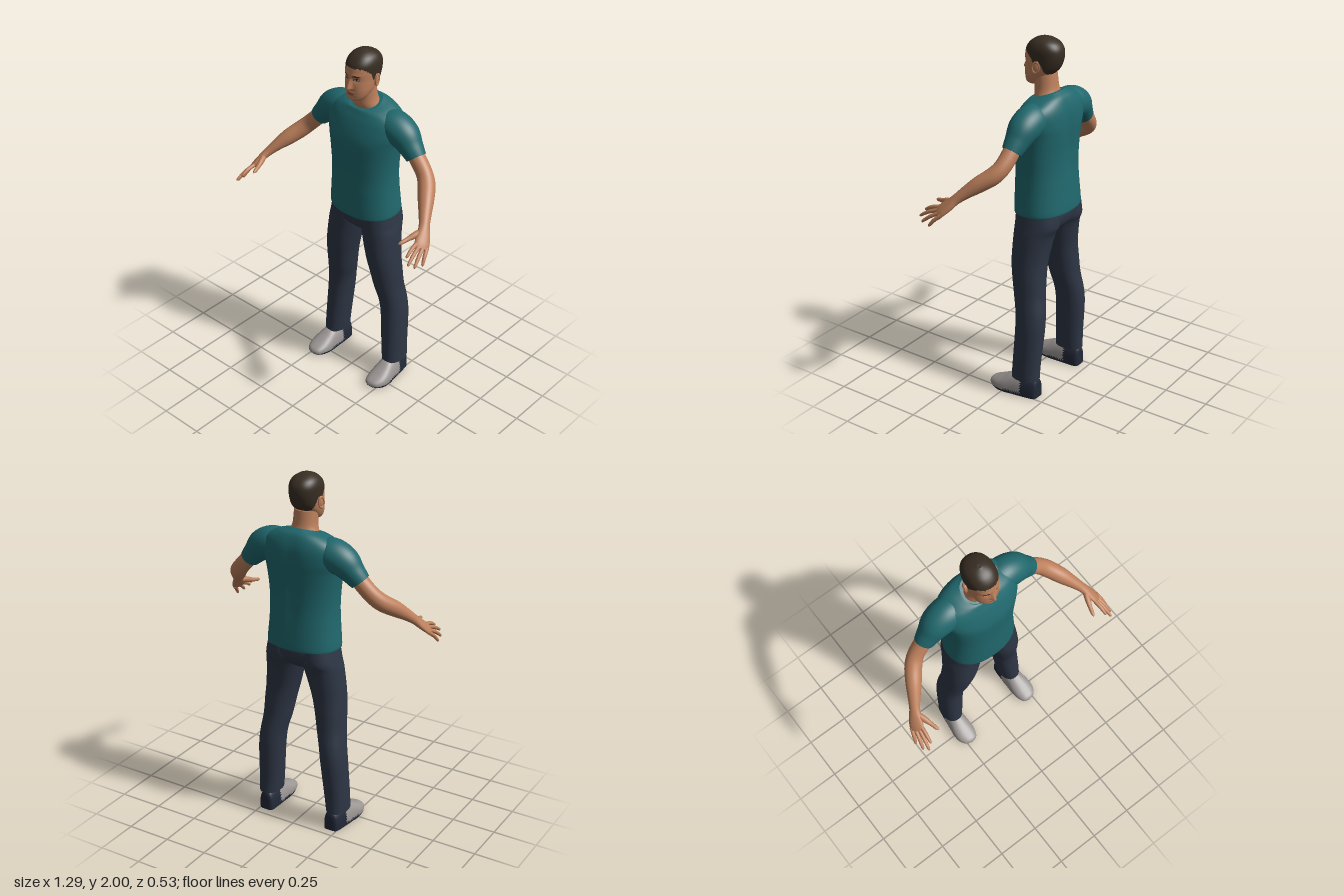
import * as THREE from 'three';

const mat = (name, color) => {
  const m = new THREE.MeshStandardMaterial({ color });
  m.name = name;
  return m;
};
const V = (x, y, z) => new THREE.Vector3(x, y, z);
const bell = (d, w) => Math.exp(-((d / w) ** 2));

// Catmull-Rom through rows of numbers, k steps per span
function smooth(rows, k) {
  const out = [];
  const at = i => rows[Math.min(Math.max(i, 0), rows.length - 1)];
  for (let i = 0; i < rows.length - 1; i++) {
    const [a, b, c, d] = [at(i - 1), at(i), at(i + 1), at(i + 2)];
    for (let s = 0; s < k; s++) {
      const t = s / k;
      out.push(b.map((p, j) => {
        const c1 = c[j] - a[j];
        const c2 = 2 * a[j] - 5 * p + 4 * c[j] - d[j];
        const c3 = 3 * (p - c[j]) + d[j] - a[j];
        return p + 0.5 * t * (c1 + t * (c2 + t * c3));
      }));
    }
  }
  out.push(at(rows.length));
  return out;
}

// Skin a list of rings {c, u, v} with superellipse sections and closed ends
function loft(name, mats, rings, { seg = 40, n = 2, sculpt, paint } = {}) {
  const pos = [], buckets = [].concat(mats).map(() => []);
  const sp = c => Math.sign(c) * Math.abs(c) ** (2 / n);
  const last = rings.length - 1, mid = rings[last >> 1];
  const flip = V(0, 0, 0).crossVectors(mid.u, mid.v).dot(rings[last].c.clone().sub(rings[0].c)) < 0;
  for (const { c, u, v } of rings) {
    for (let j = 0; j < seg; j++) {
      const a = (j / seg) * Math.PI * 2;
      const p = c.clone().addScaledVector(u, sp(Math.cos(a))).addScaledVector(v, sp(Math.sin(a)));
      if (sculpt) sculpt(p);
      pos.push(p.x, p.y, p.z);
    }
  }
  const tri = (a, b, c) => {
    const mean = k => (pos[a * 3 + k] + pos[b * 3 + k] + pos[c * 3 + k]) / 3;
    const m = paint ? paint(mean(0), mean(1), mean(2)) : 0;
    buckets[m].push(...(flip ? [a, c, b] : [a, b, c]));
  };
  for (let i = 0; i < last; i++) {
    for (let j = 0; j < seg; j++) {
      const a = i * seg + j, b = i * seg + (j + 1) % seg;
      tri(a, b, a + seg);
      tri(b, b + seg, a + seg);
    }
  }
  for (const i of [0, last]) {
    const start = pos.length / 3, mean = [0, 0, 0];
    for (let j = 0; j < seg; j++) {
      for (let k = 0; k < 3; k++) {
        const q = pos[(i * seg + j) * 3 + k];
        pos.push(q);
        mean[k] += q / seg;
      }
    }
    pos.push(...mean);
    for (let j = 0; j < seg; j++) {
      const a = start + j, b = start + (j + 1) % seg;
      if (i) tri(start + seg, a, b); else tri(start + seg, b, a);
    }
  }
  const g = new THREE.BufferGeometry();
  g.setAttribute('position', new THREE.Float32BufferAttribute(pos, 3));
  g.setIndex(buckets.flat());
  let from = 0;
  buckets.forEach((b, i) => { g.addGroup(from, b.length, i); from += b.length; });
  g.computeVertexNormals();
  const mesh = new THREE.Mesh(g, mats);
  mesh.name = name;
  return mesh;
}

// Upright form: rows of [y, frontZ, backZ, halfWidth, centreX, tilt]
function upright(name, mats, rows, opts = {}) {
  const full = rows.map(([y, f, b, r, x = 0, t = 0]) => [y, f, b, r, x, t]);
  const rings = smooth(full, opts.k || 5).map(([y, f, b, r, x, t]) => ({
    c: V(x, y, (f + b) / 2), u: V(r, 0, 0), v: V(0, t * (f - b) / 2, (f - b) / 2),
  }));
  return loft(name, mats, rings, opts);
}

// Limb along a path: rows of [x, y, z, r1, r2], r1 measured along wide
function limb(name, m, rows, wide, opts = {}) {
  const s = smooth(rows, opts.k || 5);
  const rings = s.map((r, i) => {
    const a = s[Math.max(i - 1, 0)], b = s[Math.min(i + 1, s.length - 1)];
    const d = V(b[0] - a[0], b[1] - a[1], b[2] - a[2]).normalize();
    const u = wide.clone().addScaledVector(d, -wide.dot(d)).normalize();
    const v = d.clone().cross(u);
    return { c: V(r[0], r[1], r[2]), u: u.multiplyScalar(r[3]), v: v.multiplyScalar(r[4]) };
  });
  return loft(name, m, rings, opts);
}

export function createModel() {
  const model = new THREE.Group();
  model.name = 'standingMan';
  const skin = mat('skin', 0xbd805c), hair = mat('hair', 0x382e23), shirt = mat('shirt', 0x20686d);
  const denim = mat('trousers', 0x2e3645), shoe = mat('shoe', 0x9c9795), sole = mat('sole', 0x232939);
  const white = mat('eyeWhite', 0xbfb0a4), lip = mat('lips', 0x96594a);

  // Shirt body with a shallow groove along the spine
  model.add(upright('shirtBody', shirt, [
    [1.063, 0.034, -0.262, 0.2, 0, -0.05], [1.08, 0.036, -0.266, 0.206, 0, -0.03], [1.2, 0.035, -0.257, 0.196],
    [1.3, 0.032, -0.25, 0.193], [1.4, 0.033, -0.25, 0.2], [1.5, 0.033, -0.256, 0.214],
    [1.56, 0.02, -0.258, 0.228], [1.62, -0.003, -0.254, 0.225], [1.66, -0.022, -0.243, 0.2, 0, -0.04],
    [1.688, -0.032, -0.225, 0.145, 0, -0.14], [1.7, -0.037, -0.2, 0.1, 0, -0.25], [1.702, -0.04, -0.19, 0.086, 0, -0.32],
  ], {
    seg: 64, n: 2.3, sculpt: p => {
      if (p.z < -0.15) p.z += 0.012 * bell(p.x, 0.035) * bell(p.y - 1.45, 0.2);
    },
  }));

  // Neck
  model.add(upright('neck', skin, [
    [1.63, -0.07, -0.2, 0.1], [1.69, -0.047, -0.184, 0.08], [1.735, -0.042, -0.168, 0.067], [1.81, -0.035, -0.158, 0.063],
  ]));

  // Head: face sculpted by rule, hairline and features coloured by region
  const hairline = [[0.05, 1.932], [-0.02, 1.925], [-0.05, 1.9], [-0.068, 1.88], [-0.075, 1.855],
    [-0.09, 1.86], [-0.1, 1.885], [-0.115, 1.87], [-0.135, 1.82], [-0.16, 1.8], [-0.3, 1.8]];
  const lineAt = z => {
    const i = Math.max(1, hairline.findIndex(h => h[0] <= z));
    const [a, b] = [hairline[i - 1], hairline[i]];
    return a[1] + (b[1] - a[1]) * (z - a[0]) / (b[0] - a[0]);
  };
  const oval = (x, y, w, h) => (x / w) ** 2 + (y / h) ** 2;
  model.add(upright('head', [skin, hair, white, lip], [
    [1.738, -0.004, -0.05, 0.024], [1.75, 0.009, -0.075, 0.045], [1.77, 0.012, -0.105, 0.062],
    [1.8, 0.014, -0.138, 0.073], [1.83, 0.015, -0.17, 0.077], [1.86, 0.013, -0.188, 0.079],
    [1.9, 0.014, -0.199, 0.081], [1.94, 0.005, -0.196, 0.08], [1.97, -0.018, -0.176, 0.067],
    [1.989, -0.047, -0.143, 0.043], [2.0, -0.08, -0.105, 0.012],
  ], {
    seg: 140, k: 8, n: 2.2,
    sculpt: p => {
      if (p.z < -0.06) return;
      const x = Math.abs(p.x), y = p.y;
      const ramp = THREE.MathUtils.clamp((1.885 - y) / 0.065, 0, 1) * THREE.MathUtils.smoothstep(y, 1.803, 1.818);
      p.z += 0.024 * ramp * bell(x, 0.007 + 0.006 * ramp);
      p.z -= 0.007 * bell(x - 0.031, 0.015) * bell(y - 1.867, 0.012);
      p.z += 0.004 * bell(x - 0.025, 0.025) * bell(y - 1.889, 0.01);
      p.z += 0.005 * bell(x, 0.022) * (bell(y - 1.793, 0.006) + bell(y - 1.78, 0.006));
      p.z += 0.003 * bell(x, 0.02) * bell(y - 1.755, 0.01);
    },
    paint: (x, y, z) => {
      if (y > lineAt(z) + 0.004 * Math.sin(x * 210) * Math.cos(z * 170)) return 1;
      if (z < -0.04) return 0;
      const ax = Math.abs(x), eye = oval(ax - 0.032, y - 1.866, 0.016, 0.0075);
      if (oval(ax - 0.034, y - 1.887 + (ax - 0.034) * 0.1, 0.02, 0.0045) < 1) return 1;
      if (eye < 1) return eye < 0.5 && Math.abs(ax - 0.032) > 0.0045 ? 2 : 1;
      return oval(x, y - 1.787, 0.024, 0.009) < 1 ? 3 : 0;
    },
  }));

  // Hips
  model.add(upright('hips', denim, [
    [1.1, 0.0, -0.24, 0.185], [1.05, 0.0, -0.25, 0.2], [1.0, -0.003, -0.24, 0.205],
    [0.97, -0.015, -0.215, 0.17], [0.945, -0.04, -0.18, 0.07],
  ], { n: 2.3 }));

  const wide = V(0.64, -0.43, -0.64);
  for (const s of [1, -1]) {
    const side = s > 0 ? 'left' : 'right';
    const wideS = V(wide.x * s, wide.y, wide.z);
    const mirror = rows => rows.map(([x, ...rest]) => [x * s, ...rest]);

    // Ear with rim
    const ear = new THREE.Group();
    ear.name = side + 'Ear';
    const lobe = new THREE.Mesh(new THREE.SphereGeometry(1, 20, 14), skin);
    lobe.scale.set(0.009, 0.032, 0.018);
    const rim = new THREE.Mesh(new THREE.TorusGeometry(0.018, 0.0045, 8, 24), skin);
    rim.rotation.y = Math.PI / 2;
    rim.scale.set(1, 1.6, 1);
    rim.position.x = s * 0.006;
    ear.add(lobe, rim);
    ear.position.set(s * 0.084, 1.853, -0.094);
    ear.rotation.set(-0.15, s * 0.25, 0);
    model.add(ear);

    // Sleeve
    model.add(limb(side + 'Sleeve', shirt, mirror([
      [0.12, 1.605, -0.13, 0.08, 0.075], [0.18, 1.6, -0.132, 0.088, 0.088], [0.245, 1.573, -0.13, 0.083, 0.084],
      [0.295, 1.525, -0.125, 0.066, 0.066], [0.33, 1.488, -0.121, 0.055, 0.056], [0.337, 1.48, -0.12, 0.052, 0.053],
    ]), V(0, 0, 1)));

    // Arm and palm
    model.add(limb(side + 'Arm', skin, mirror([
      [0.29, 1.54, -0.12, 0.044, 0.044], [0.345, 1.475, -0.12, 0.045, 0.045], [0.402, 1.415, -0.108, 0.044, 0.045],
      [0.442, 1.373, -0.078, 0.046, 0.046], [0.485, 1.33, -0.022, 0.042, 0.043], [0.523, 1.288, 0.03, 0.034, 0.032],
      [0.553, 1.25, 0.072, 0.029, 0.024], [0.575, 1.217, 0.105, 0.037, 0.02], [0.593, 1.187, 0.137, 0.041, 0.016],
      [0.603, 1.171, 0.154, 0.036, 0.011],
    ]), wideS));

    // Fingers, index to little, then thumb
    const tips = [[0.585, 1.16, 0.25], [0.61, 1.13, 0.268], [0.63, 1.11, 0.24], [0.64, 1.102, 0.188]];
    tips.forEach((t, i) => {
      const o = -0.031 + i * 0.0205;
      const b = [0.596 + wide.x * o, 1.181 + wide.y * o, 0.143 + wide.z * o];
      const at = (f, lift, r) => [...b.map((q, k) => q + (t[k] - q) * f + (k === 1 ? lift : 0)), r, r];
      model.add(limb(side + 'Finger' + (i + 1), skin, mirror([
        at(0, 0, 0.011), at(0.45, 0.007, 0.0105), at(0.75, 0.005, 0.009), at(0.94, 0.001, 0.007), at(1, 0, 0.002),
      ]), wideS, { seg: 14, k: 3 }));
    });
    model.add(limb(side + 'Thumb', skin, mirror([
      [0.562, 1.235, 0.09, 0.016, 0.016], [0.545, 1.222, 0.135, 0.018, 0.016], [0.53, 1.21, 0.175, 0.012, 0.012],
      [0.519, 1.202, 0.212, 0.01, 0.01], [0.514, 1.199, 0.227, 0.003, 0.003],
    ]), wideS, { seg: 14, k: 3 }));

    // Trouser leg
    model.add(upright(side + 'TrouserLeg', denim, [
      [1.07, 0.0, -0.245, 0.098, s * 0.1], [1.0, 0.0, -0.246, 0.103, s * 0.108], [0.94, 0.0, -0.222, 0.103, s * 0.119],
      [0.8, 0.0, -0.2, 0.092, s * 0.143], [0.7, -0.013, -0.2, 0.084, s * 0.159], [0.6, -0.03, -0.206, 0.077, s * 0.171],
      [0.5, -0.05, -0.22, 0.071, s * 0.189], [0.4, -0.055, -0.222, 0.07, s * 0.2], [0.2, -0.045, -0.207, 0.064, s * 0.213],
      [0.105, -0.04, -0.205, 0.059, s * 0.219],
    ], { n: 2.2 }));

    // Shoe: grey upper, dark heel and sole; rows of [z, centreX, halfWidth, top]
    const shoeRows = [[-0.205, 0.212, 0.025, 0.09], [-0.19, 0.213, 0.043, 0.115], [-0.12, 0.217, 0.052, 0.125],
      [-0.05, 0.221, 0.058, 0.115], [0, 0.224, 0.063, 0.09], [0.045, 0.225, 0.06, 0.068],
      [0.08, 0.223, 0.046, 0.052], [0.095, 0.221, 0.03, 0.042], [0.102, 0.22, 0.008, 0.031]];
    const shoeRings = smooth(shoeRows, 6).map(([z, x, r, top]) => ({
      c: V(s * x, 0.026, z), u: V(r, 0, 0), v: V(0, top - 0.026, 0),
    }));
    model.add(loft(side + 'Shoe', [shoe, sole], shoeRings, {
      n: 2.3,
      sculpt: p => { p.y = Math.max(p.y, 0); },
      paint: (x, y, z) => (z < -0.115 || y < 0.017 ? 1 : 0),
    }));
  }
  return model;
}
